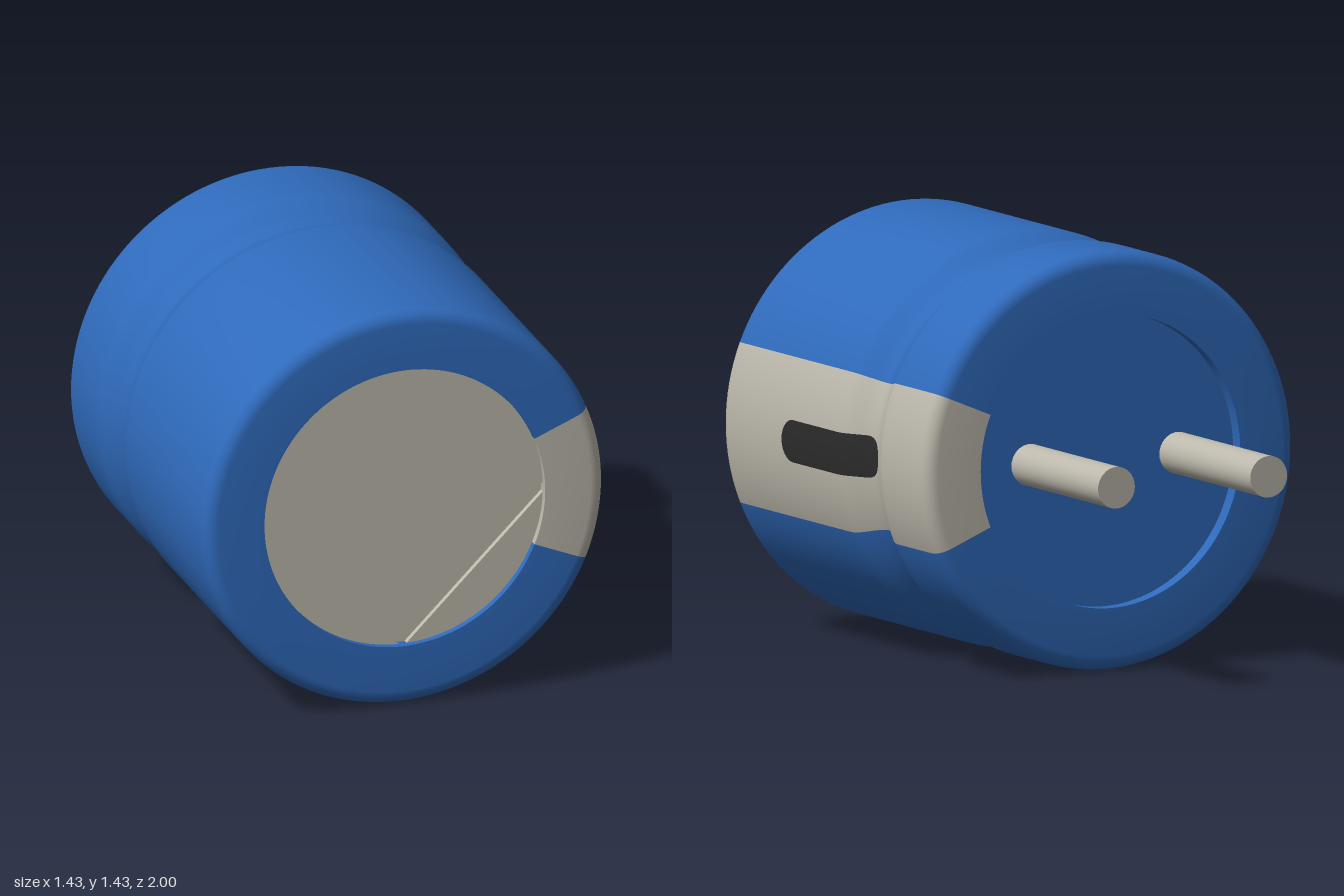
import * as THREE from 'three';
import { toCreasedNormals } from 'three/addons/utils/BufferGeometryUtils.js';

const R = 0.713;            // can radius
const CY = 0.716;           // height of the can axis
const BACK = -0.42, FRONT = 1.0;
const FILLET = 0.05, RIM = 0.5;
const STRIPE = Math.PI / 4; // angle covered by the polarity stripe

// Can radius along z, with the crimp groove around z = 0.03
function radiusAt(z) {
  const t = (z - 0.03) / 0.16;
  return Math.abs(t) < 1 ? R - 0.03 * (1 + Math.cos(Math.PI * t)) : R;
}

export function createModel() {
  const model = new THREE.Group();
  model.name = 'capacitor';
  const mat = (name, color) => {
    const m = new THREE.MeshStandardMaterial({ color });
    m.name = name;
    return m;
  };
  const blue = mat('blueSleeve', 0x2f6abb);
  const grey = mat('warmGrey', 0xbcb8ac);
  const dark = mat('darkMark', 0x2b2b2b);

  const add = (name, geometry, material, x = 0, y = CY, z = 0) => {
    const mesh = new THREE.Mesh(geometry, material);
    mesh.name = name;
    mesh.position.set(x, y, z);
    model.add(mesh);
    return mesh;
  };

  // Sleeve: one lathe running from the back recess around to the front recess
  const pts = [[RIM, BACK + 0.05], [RIM, BACK]];
  for (let i = 0; i <= 6; i++) {
    const a = (i / 6) * Math.PI / 2;
    pts.push([R - FILLET + FILLET * Math.sin(a), BACK + FILLET - FILLET * Math.cos(a)]);
  }
  for (let i = 0; i <= 16; i++) {
    const z = -0.13 + 0.02 * i;
    pts.push([radiusAt(z), z]);
  }
  for (let i = 0; i <= 6; i++) {
    const a = (i / 6) * Math.PI / 2;
    pts.push([R - FILLET + FILLET * Math.cos(a), FRONT - FILLET + FILLET * Math.sin(a)]);
  }
  pts.push([RIM, FRONT], [RIM, FRONT - 0.05]);
  const segments = 128;
  const sleeve = new THREE.LatheGeometry(
    pts.map(([r, z]) => new THREE.Vector2(r, z)),
    segments, Math.PI / 2 - STRIPE / 2, Math.PI * 2);
  sleeve.rotateX(Math.PI / 2);
  // The first segments, facing +x, are the pale stripe
  const perSegment = (pts.length - 1) * 6;
  const stripeCount = (segments / 8) * perSegment;
  sleeve.addGroup(0, stripeCount, 1);
  sleeve.addGroup(stripeCount, segments * perSegment - stripeCount, 0);
  add('sleeve', toCreasedNormals(sleeve, 0.6), [blue, grey]);

  // Recessed back seal
  const seal = new THREE.CircleGeometry(RIM, 128);
  seal.rotateY(Math.PI);
  add('backSeal', seal, blue, 0, CY, BACK + 0.05);

  // Front cap: four quadrants leave the cross-shaped vent score over a base disc
  add('ventFloor', new THREE.CircleGeometry(RIM, 128), grey, 0, CY, FRONT - 0.045);
  const gap = 0.014;
  const a0 = Math.asin(gap / RIM);
  const quadrant = new THREE.Shape();
  quadrant.moveTo(gap, gap);
  quadrant.absarc(0, 0, RIM, a0, Math.PI / 2 - a0, false);
  quadrant.closePath();
  const quadGeo = new THREE.ExtrudeGeometry(quadrant, { depth: 0.02, bevelEnabled: false, curveSegments: 32 });
  for (let i = 0; i < 4; i++) {
    add('capQuadrant', quadGeo, grey, 0, CY, FRONT - 0.045).rotation.z = i * Math.PI / 2;
  }

  // Minus mark: a thin rounded patch that follows the sleeve and its groove
  const z0 = 0.0, z1 = 0.57, h = 0.072, rows = 64, cols = 8;
  const mark = new THREE.PlaneGeometry(1, 1, rows, cols);
  const p = mark.attributes.position;
  for (let i = 0; i < p.count; i++) {
    // Cosine spacing keeps the round ends smooth
    const u = 0.5 - 0.5 * Math.cos((p.getX(i) + 0.5) * Math.PI);
    const z = z1 + (z0 - z1) * u;
    const end = Math.max(0, h - Math.min(z - z0, z1 - z));
    const half = Math.sqrt(Math.max(0, h * h - end * end));
    const r = radiusAt(z) + 0.004;
    const a = Math.asin((p.getY(i) * 2 * half) / r);
    p.setXYZ(i, r * Math.cos(a), r * Math.sin(a), z);
  }
  mark.computeVertexNormals();
  dark.side = THREE.DoubleSide;
  add('minusMark', mark, dark);

  // Two terminal pins, one slightly longer
  for (const [name, x, end] of [['longPin', -0.287, -1.0], ['shortPin', 0.283, -0.97]]) {
    const length = BACK + 0.06 - end;
    const pin = new THREE.CylinderGeometry(0.071, 0.071, length, 32);
    pin.rotateX(Math.PI / 2);
    add(name, pin, grey, x, CY + 0.002, end + length / 2);
  }

  return model;
}
